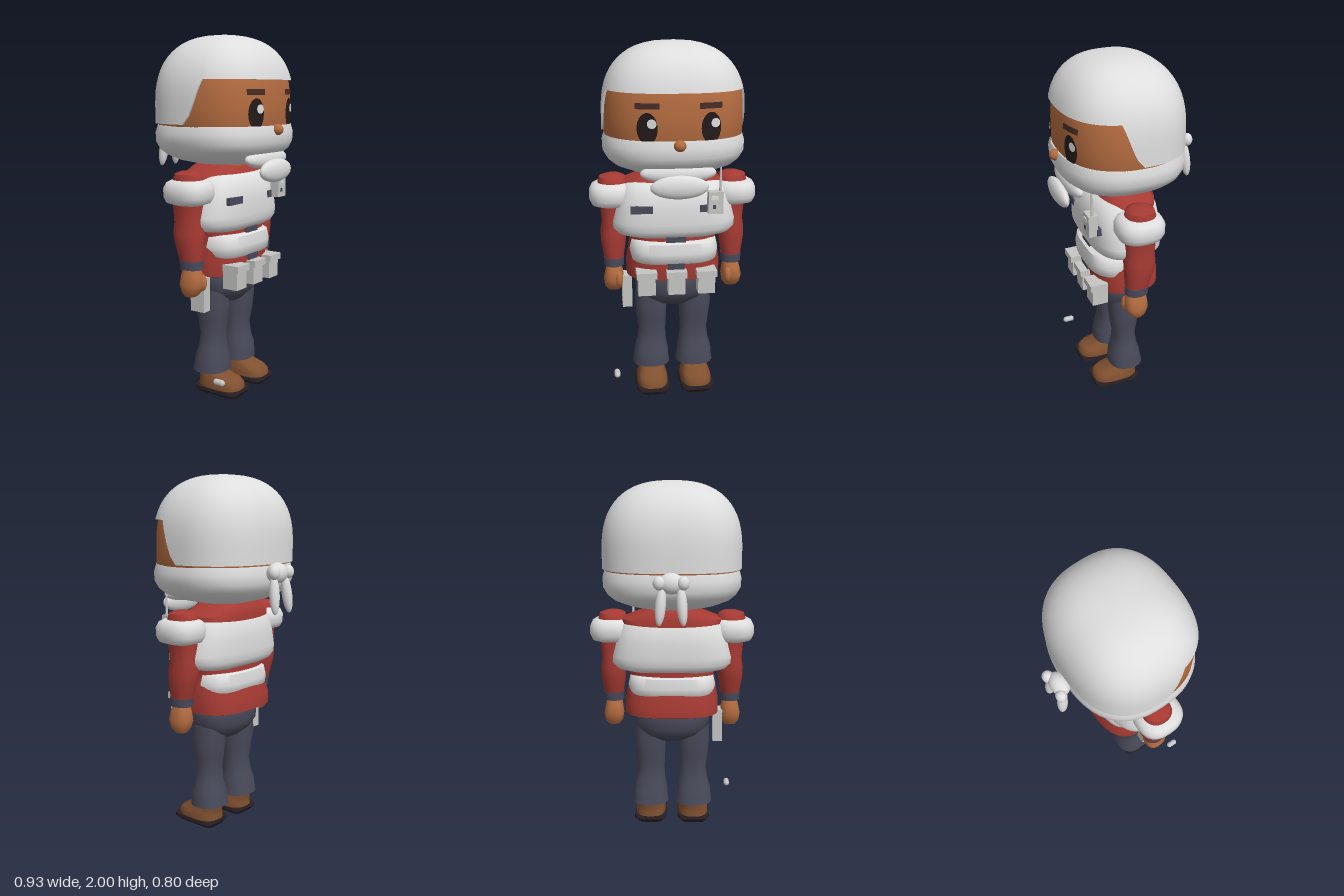
import * as THREE from 'three';
import { toCreasedNormals } from 'three/addons/utils/BufferGeometryUtils.js';

const mat = (name, color) => {
  const m = new THREE.MeshStandardMaterial({ color });
  m.name = name;
  return m;
};

// superellipse unit point
const sup = (a, n) => {
  const c = Math.cos(a), s = Math.sin(a);
  return [Math.sign(c) * Math.abs(c) ** (2 / n), Math.sign(s) * Math.abs(s) ** (2 / n)];
};

// closed skin from rings listed top to bottom; ringPoint(i, angle) gives [x, y, z]
function skinRings(rows, segs, ringPoint, capBottom = true, crease = 0.9) {
  const pos = [], idx = [];
  for (let i = 0; i < rows; i++)
    for (let j = 0; j < segs; j++) pos.push(...ringPoint(i, (j / segs) * Math.PI * 2));
  for (let i = 0; i < rows - 1; i++)
    for (let j = 0; j < segs; j++) {
      const k = (j + 1) % segs, a = i * segs + j, c = i * segs + k;
      idx.push(a, c, a + segs, c, c + segs, a + segs);
    }
  const cap = (row, top) => {
    const p = [0, 0, 0];
    for (let j = 0; j < segs; j++)
      for (let q = 0; q < 3; q++) p[q] += pos[(row * segs + j) * 3 + q] / segs;
    const centre = pos.length / 3;
    pos.push(...p);
    for (let j = 0; j < segs; j++) {
      const a = row * segs + j, b = row * segs + ((j + 1) % segs);
      idx.push(centre, ...(top ? [b, a] : [a, b]));
    }
  };
  cap(0, true);
  if (capBottom) cap(rows - 1, false);
  const g = new THREE.BufferGeometry();
  g.setAttribute('position', new THREE.Float32BufferAttribute(pos, 3));
  g.setIndex(idx);
  return toCreasedNormals(g, crease);
}

// rows: [y, rx, rz, xc, zc]
const loft = (rows, n = 2.2, segs = 28, side = 1, crease) =>
  skinRings(rows.length, segs, (i, a) => {
    const [y, rx, rz, xc, zc] = rows[i], [c, s] = sup(a, n);
    return [xc * side + rx * c, y, zc + rz * s];
  }, true, crease);

// dome profile shared by head and hair
const dome = (y) => (y > 1.62 ? Math.max(0, 1 - ((y - 1.62) / 0.38) ** 2.5) ** 0.4 : 1);
const HEAD_N = 2.5;
const faceZ = (x, y) => {
  const k = dome(y);
  return 0.03 + 0.322 * k * (1 - Math.abs(x / (0.374 * k)) ** HEAD_N) ** (1 / HEAD_N);
};

export function createModel() {
  const white = mat('white cloth', 0xdedede), gear = mat('light grey gear', 0xc6c6c4);
  const red = mat('red jacket', 0xa63a33), skin = mat('skin', 0xb46c40);
  const navy = mat('dark trousers', 0x494a5a), brown = mat('brown shoe', 0x80502f);
  const black = mat('black sole', 0x2a2023), eye = mat('eye', 0x241a1a);
  const browMat = mat('eyebrow', 0x472b24);

  const model = new THREE.Group();
  const add = (name, geo, material, x = 0, y = 0, z = 0) => {
    const m = new THREE.Mesh(geo, material);
    m.name = name;
    m.position.set(x, y, z);
    model.add(m);
    return m;
  };
  const box = (name, material, w, h, d, x, y, z) => add(name, new THREE.BoxGeometry(w, h, d), material, x, y, z);
  const blob = (name, material, rx, ry, rz, x, y, z) => {
    const g = new THREE.SphereGeometry(1, 24, 16);
    g.scale(rx, ry, rz);
    return add(name, g, material, x, y, z);
  };

  // head, with a rounded crown
  const headRows = [1.96, 1.92, 1.86, 1.8, 1.74, 1.68, 1.62, 1.5].map((y) => [y, 0.374 * dome(y), 0.322 * dome(y), 0, 0.03]);
  headRows.push([1.4, 0.33, 0.28, 0, 0.03], [1.33, 0.2, 0.18, 0, 0.03]);
  add('head', loft(headRows, HEAD_N, 64), skin);
  add('neck', loft([[1.36, 0.14, 0.13, 0, 0.02], [1.24, 0.13, 0.12, 0, 0.02]]), skin);

  // hair cap: short over the face, long at the sides and back
  const hairRows = 18;
  add('hairCap', skinRings(hairRows, 96, (i, a) => {
    const [c, s] = sup(a, HEAD_N);
    const u = THREE.MathUtils.clamp((0.03 + 0.34 * s - 0.04) / 0.1, 0, 1);
    const bottom = 1.53 + 0.23 * u ** 1.3;
    const t = Math.min(1, (i + 0.3) / (hairRows - 1.7));
    const y = 2 - (2 - bottom) * t ** 1.7;
    const k = dome(y) * (i === hairRows - 1 ? 0.94 : 1);
    return [0.386 * k * c, y, 0.03 + 0.34 * k * s];
  }, false), white);

  // face details follow the curve of the head
  const facePatch = (name, geo, material, cx, cy, lift) => {
    const p = geo.attributes.position;
    for (let i = 0; i < p.count; i++) {
      const x = p.getX(i) + cx, y = p.getY(i) + cy;
      p.setXYZ(i, x, y, faceZ(x, y) + lift);
    }
    geo.computeVertexNormals();
    add(name, geo, material);
  };
  for (const s of [-1, 1]) {
    facePatch('eye', new THREE.CircleGeometry(1, 28).scale(0.052, 0.08, 1), eye, s * 0.163, 1.585, 0.005);
    facePatch('eyeHighlight', new THREE.CircleGeometry(0.024, 16), white, s * 0.163 + 0.022, 1.61, 0.009);
    facePatch('eyebrow', new THREE.PlaneGeometry(0.12, 0.03, 6, 2), browMat, s * 0.162, 1.697, 0.006);
  }
  blob('nose', skin, 0.032, 0.03, 0.032, 0, 1.5, 0.368);

  // face wrap with knot, tails and chin folds
  add('faceWrap', loft([
    [1.52, 0.35, 0.3, 0, 0.03], [1.522, 0.373, 0.33, 0, 0.03], [1.48, 0.385, 0.341, 0, 0.03],
    [1.43, 0.383, 0.338, 0, 0.03], [1.39, 0.36, 0.32, 0, 0.03], [1.36, 0.325, 0.285, 0, 0.03],
    [1.33, 0.25, 0.225, 0, 0.03], [1.31, 0.16, 0.15, 0, 0.03]], HEAD_N, 64), white);
  blob('wrapKnot', white, 0.068, 0.055, 0.05, 0, 1.485, -0.34);
  for (const s of [-1, 1]) {
    blob('knotLoop', white, 0.032, 0.036, 0.03, s * 0.062, 1.49, -0.367);
    blob('wrapTail', white, 0.028, 0.105, 0.028, s * 0.055, 1.375, -0.365).rotation.set(0.12, 0, s * 0.08);
  }
  blob('chinFold', white, 0.2, 0.055, 0.045, 0, 1.345, 0.3).rotation.x = -0.35;
  blob('chinFoldLower', white, 0.152, 0.062, 0.036, 0, 1.283, 0.36);

  // jacket
  add('jacket', loft([
    [1.315, 0.13, 0.11, 0, 0.01], [1.29, 0.18, 0.14, 0, 0.01], [1.25, 0.28, 0.155, 0, 0.015],
    [1.18, 0.29, 0.17, 0, 0.03], [1.05, 0.27, 0.175, 0, 0.035], [0.95, 0.235, 0.165, 0, 0.035],
    [0.87, 0.25, 0.175, 0, 0.035], [0.78, 0.265, 0.195, 0, 0.02], [0.71, 0.265, 0.19, 0, 0.015],
    [0.7, 0.235, 0.165, 0, 0.015]], 2.7, 40), red);
  add('vest', loft([
    [1.27, 0.2, 0.1, 0, 0.035], [1.25, 0.265, 0.15, 0, 0.035], [1.21, 0.295, 0.182, 0, 0.037],
    [1.13, 0.32, 0.197, 0, 0.038], [1.04, 0.343, 0.199, 0, 0.038], [1, 0.343, 0.196, 0, 0.038],
    [0.97, 0.315, 0.183, 0, 0.038], [0.955, 0.26, 0.16, 0, 0.038]], 3, 48), white);
  add('waistBand', loft([
    [0.937, 0.22, 0.165, 0, 0.04], [0.925, 0.237, 0.187, 0, 0.04], [0.87, 0.249, 0.196, 0, 0.04],
    [0.82, 0.243, 0.192, 0, 0.04], [0.805, 0.23, 0.17, 0, 0.04]], 3.2, 40), white);
  box('jacketOpening', navy, 0.11, 0.06, 0.01, 0, 0.945, 0.207);
  box('jacketOpeningLower', navy, 0.09, 0.05, 0.01, 0, 0.79, 0.218);
  for (const s of [-1, 1]) box('vestPocket', navy, 0.12, 0.038, 0.025, s * 0.187, 1.128, 0.222);

  // radio
  box('radio', gear, 0.08, 0.12, 0.052, 0.205, 1.17, 0.254);
  box('radioScreen', white, 0.036, 0.022, 0.008, 0.197, 1.198, 0.281);
  box('radioButton', navy, 0.016, 0.02, 0.008, 0.195, 1.15, 0.281);
  add('antenna', new THREE.CylinderGeometry(0.005, 0.009, 0.16, 10), gear, 0.232, 1.285, 0.256);

  // belt pouches with lids
  for (const x of [-0.165, 0, 0.165]) {
    box('pouch', gear, 0.095, 0.11, 0.09, x, 0.7, 0.21);
    box('pouchLid', gear, 0.112, 0.036, 0.1, x, 0.762, 0.218);
  }
  box('holster', gear, 0.055, 0.19, 0.09, -0.265, 0.61, 0.05);
  const capsule = add('looseCartridge', new THREE.CapsuleGeometry(0.017, 0.035, 6, 14), gear, -0.338, 0.165, 0.227);
  capsule.rotation.x = Math.PI / 2;

  // trousers
  add('hips', loft([
    [0.76, 0.2, 0.14, 0, 0.035], [0.69, 0.22, 0.155, 0, 0.035], [0.62, 0.215, 0.152, 0, 0.035],
    [0.57, 0.17, 0.125, 0, 0.035], [0.53, 0.1, 0.08, 0, 0.04], [0.52, 0.04, 0.03, 0, 0.04]], 2.3, 36), navy);

  for (const s of [-1, 1]) {
    // arms
    add('sleeve', loft([
      [1.287, 0.04, 0.045, 0.33, 0.03], [1.275, 0.072, 0.072, 0.335, 0.03], [1.23, 0.085, 0.086, 0.335, 0.03],
      [1.1, 0.07, 0.085, 0.335, 0.028], [1.02, 0.063, 0.08, 0.335, 0.028], [0.96, 0.072, 0.088, 0.335, 0.03],
      [0.9, 0.07, 0.08, 0.335, 0.035], [0.81, 0.055, 0.064, 0.335, 0.045]], 2.2, 28, s), red);
    add('armBand', loft([
      [1.243, 0.085, 0.09, 0.342, 0.037], [1.23, 0.108, 0.115, 0.342, 0.037], [1.2, 0.122, 0.13, 0.342, 0.037],
      [1.155, 0.122, 0.13, 0.342, 0.037], [1.125, 0.108, 0.115, 0.342, 0.037], [1.112, 0.07, 0.08, 0.342, 0.037]], 2.5, 32, s), white);
    add('cuff', loft([[0.812, 0.058, 0.066, 0.335, 0.045], [0.765, 0.056, 0.064, 0.335, 0.047]], 2.2, 24, s), navy);
    add('hand', loft([
      [0.77, 0.04, 0.045, 0.335, 0.048], [0.73, 0.05, 0.06, 0.336, 0.05], [0.68, 0.058, 0.066, 0.338, 0.05],
      [0.64, 0.052, 0.05, 0.338, 0.048], [0.615, 0.035, 0.03, 0.338, 0.045]], 2.5, 20, s), skin);
    blob('thumb', skin, 0.022, 0.045, 0.024, s * 0.31, 0.69, 0.1);

    // legs
    add('trouserLeg', loft([
      [0.63, 0.09, 0.09, 0.125, 0.035], [0.52, 0.092, 0.09, 0.128, 0.035], [0.43, 0.085, 0.078, 0.125, 0.037],
      [0.35, 0.078, 0.065, 0.122, 0.035], [0.28, 0.085, 0.072, 0.125, 0.035], [0.22, 0.1, 0.09, 0.128, 0.034],
      [0.18, 0.102, 0.095, 0.128, 0.033], [0.14, 0.108, 0.1, 0.128, 0.03]], 2.3, 28, s), navy);

    // shoes
    add('shoe', loft([
      [0.16, 0.065, 0.07, 0.128, 0.03], [0.125, 0.07, 0.085, 0.128, 0.045], [0.1, 0.08, 0.12, 0.128, 0.088],
      [0.08, 0.087, 0.13, 0.128, 0.098], [0.045, 0.088, 0.133, 0.128, 0.098]], 2.8, 28, s), brown);
    add('sole', loft([
      [0.052, 0.094, 0.138, 0.128, 0.1], [0.035, 0.096, 0.14, 0.128, 0.1], [0.012, 0.07, 0.125, 0.128, 0.1]], 6, 28, s, 0.4), black);
    const patch = new THREE.CylinderGeometry(1, 1, 0.012, 24);
    patch.scale(0.045, 1, 0.065);
    add('solePatch', patch, brown, s * 0.128, 0.006, 0.12);
  }
  return model;
}
